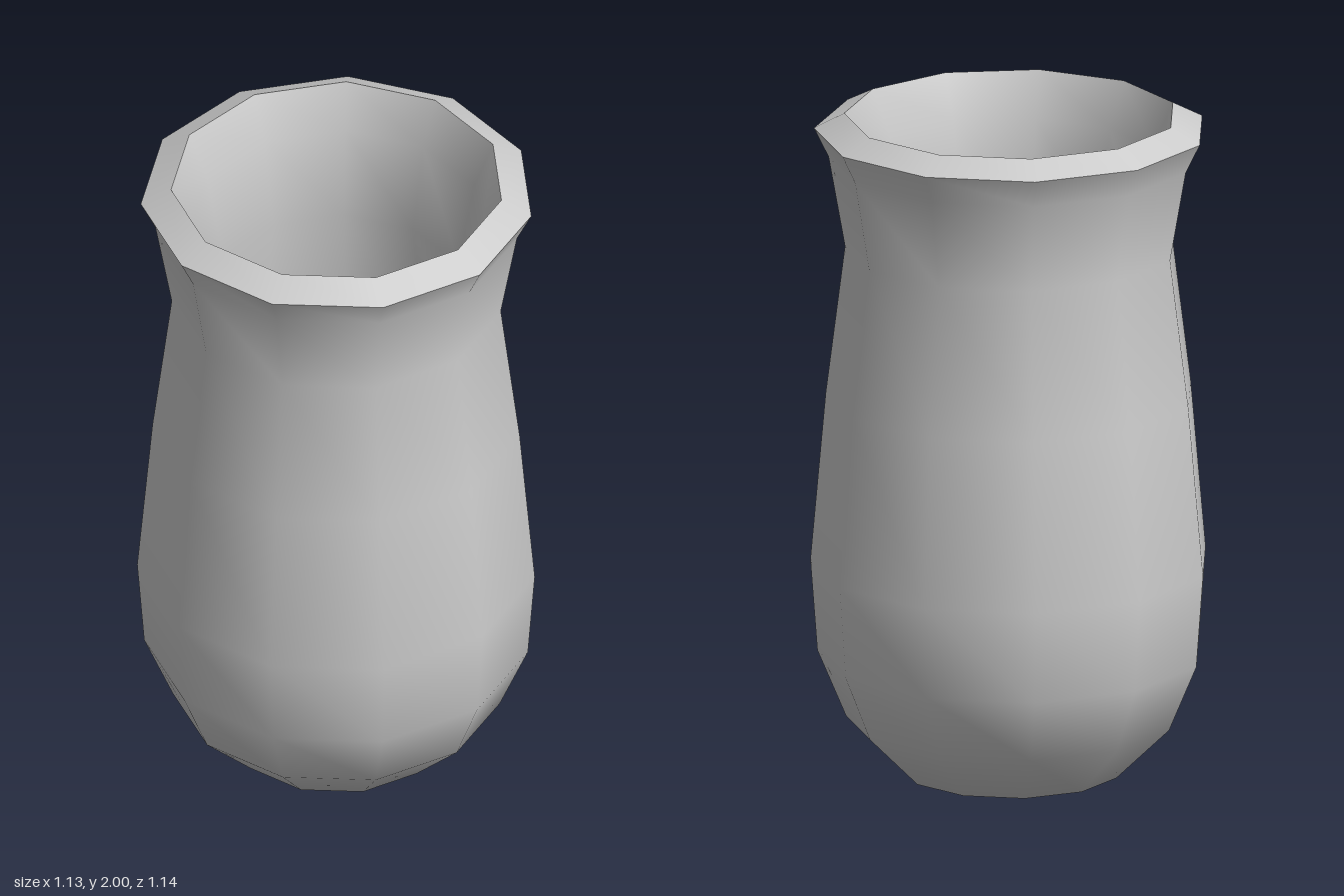
import * as THREE from 'three';

const SIDES = 11;

// Eleven-sided smooth shell, with one corner pointing to +x
function shell(name, profile, material) {
  const points = profile.map(([r, y]) => new THREE.Vector2(r, y));
  const mesh = new THREE.Mesh(new THREE.LatheGeometry(points, SIDES, Math.PI / 2), material);
  mesh.name = name;
  return mesh;
}

export function createModel() {
  const group = new THREE.Group();
  group.name = 'vase';
  const material = new THREE.MeshStandardMaterial({ color: 0xcccccc });

  // Outer wall, from the slightly pointed base up to the flared lip
  group.add(shell('outerWall', [
    [0, 0], [0.315, 0.055], [0.473, 0.21], [0.555, 0.405], [0.575, 0.675],
    [0.531, 1.17], [0.476, 1.605], [0.523, 1.87], [0.565, 1.955],
  ], material));

  // Bevelled rim, kept separate so its edges stay sharp
  group.add(shell('rim', [[0.565, 1.955], [0.478, 2]], material));

  // Inner wall, from the rim past the narrow neck down to the floor
  group.add(shell('innerWall', [
    [0.478, 2], [0.42, 1.87], [0.371, 1.605], [0.428, 1.17], [0.473, 0.675],
    [0.457, 0.43], [0.39, 0.27], [0.265, 0.15], [0, 0.1],
  ], material));

  // An odd number of sides puts the axis slightly off the centre of the bounds
  group.children.forEach((part) => { part.position.x = -0.012; });
  return group;
}
